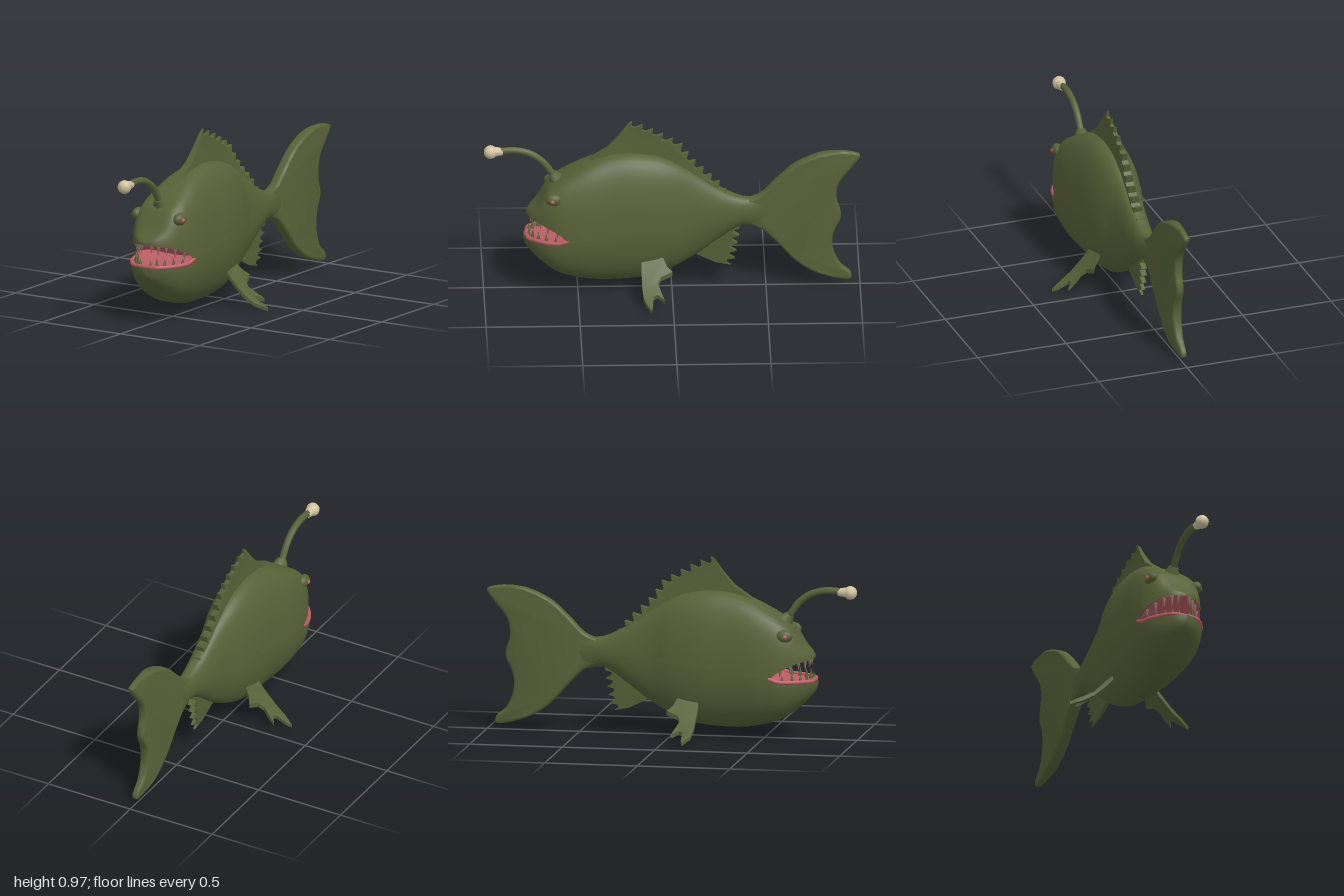
import * as THREE from 'three';
import { toCreasedNormals } from 'three/addons/utils/BufferGeometryUtils.js';

const mat = (name, color, side = THREE.FrontSide) => {
  const m = new THREE.MeshStandardMaterial({ color, side });
  m.name = name;
  return m;
};

// Smooth interpolation through [z, value] pairs sorted by z
function curve(pts) {
  const n = pts.length - 1;
  const slope = (i) => {
    const a = pts[Math.max(0, i - 1)], b = pts[Math.min(n, i + 1)];
    return (b[1] - a[1]) / (b[0] - a[0]);
  };
  return (z) => {
    let i = 0;
    while (i < n - 1 && z > pts[i + 1][0]) i++;
    const [z0, v0] = pts[i], [z1, v1] = pts[i + 1], d = z1 - z0;
    const t = Math.min(1, Math.max(0, (z - z0) / d)), s = t * t * (3 - 2 * t);
    return v0 + (v1 - v0) * s + d * t * (1 - t) * (slope(i) * (1 - t) - slope(i + 1) * t);
  };
}

// Surface from rows and columns of points
function grid(rows, cols, point) {
  const pos = [], idx = [];
  for (let i = 0; i <= rows; i++) for (let j = 0; j <= cols; j++) pos.push(...point(i / rows, j / cols));
  for (let i = 0; i < rows; i++) for (let j = 0; j < cols; j++) {
    const a = i * (cols + 1) + j, b = a + 1, c = a + cols + 1, d = c + 1;
    idx.push(a, b, c, b, d, c);
  }
  const g = new THREE.BufferGeometry();
  g.setAttribute('position', new THREE.Float32BufferAttribute(pos, 3));
  g.setIndex(idx);
  g.computeVertexNormals();
  return g;
}

// Body profiles along z
const rearWidth = [[-0.56, 0.022], [-0.45, 0.038], [-0.3, 0.062], [-0.1, 0.092], [0, 0.125], [0.15, 0.153], [0.3, 0.165], [0.47, 0.18], [0.55, 0.178]];
const upperWidth = curve([...rearWidth, [0.6, 0.17], [0.65, 0.152], [0.7, 0.122], [0.74, 0.085], [0.765, 0.045], [0.775, 0]]);
const jawWidth = curve([...rearWidth, [0.6, 0.172], [0.65, 0.158], [0.7, 0.132], [0.75, 0.09], [0.78, 0.045], [0.79, 0]]);
const rearMid = [[-0.56, 0.44], [-0.3, 0.43], [0, 0.4], [0.4, 0.36], [0.55, 0.345]];
const upperLip = curve([...rearMid, [0.6, 0.38], [0.65, 0.405], [0.7, 0.425], [0.775, 0.442]]);
const lowerLip = curve([...rearMid, [0.6, 0.327], [0.7, 0.323], [0.79, 0.322]]);
const back = curve([[-0.56, 0.53], [-0.5, 0.53], [-0.4, 0.515], [-0.3, 0.55], [-0.2, 0.61], [-0.1, 0.68], [0, 0.74], [0.1, 0.775], [0.25, 0.79],
  [0.4, 0.762], [0.55, 0.685], [0.62, 0.637], [0.66, 0.605], [0.69, 0.555], [0.72, 0.51], [0.755, 0.475], [0.775, 0.452]]);
const belly = curve([[-0.56, 0.35], [-0.45, 0.345], [-0.37, 0.355], [-0.25, 0.28], [-0.13, 0.19], [0, 0.115], [0.1, 0.075], [0.3, 0.055],
  [0.45, 0.065], [0.6, 0.11], [0.7, 0.18], [0.75, 0.23], [0.78, 0.268], [0.79, 0.3]]);

// Rows are shared up to the mouth corner and get denser towards the lips
const bodyZ = (s, end) => {
  if (s <= 0.6) return -0.56 + 1.11 * s / 0.6;
  const t = (s - 0.6) / 0.4;
  return 0.55 + (end - 0.55) * (1 - (1 - t) ** 1.8);
};

function bodyHalf(upper) {
  return grid(50, 26, (s, t) => {
    const z = bodyZ(s, upper ? 0.775 : 0.79);
    const boxy = THREE.MathUtils.smoothstep(z, 0.3, 0.65);
    const a = Math.PI * (upper ? t : 1 + t), c = Math.cos(a);
    const p = upper ? 0.75 - 0.35 * boxy : 1 - 0.25 * boxy;
    const w = Math.max(0, (upper ? upperWidth : jawWidth)(z));
    const mid = (upper ? upperLip : lowerLip)(z);
    const h = upper ? back(z) - mid : mid - belly(z);
    const x = Math.abs(c) < 1e-6 ? 0 : Math.sign(c) * Math.abs(c) ** p * w;
    return [x, mid + Math.sin(a) * h, z];
  });
}

function extrude(points, bevel) {
  const shape = new THREE.Shape(points.map(([a, b]) => new THREE.Vector2(a, b)));
  const g = new THREE.ExtrudeGeometry(shape, bevel
    ? { depth: 1, bevelThickness: 0.5, bevelSize: bevel, bevelOffset: -bevel, bevelSegments: 3 }
    : { depth: 2, bevelEnabled: false });
  return g.translate(0, 0, bevel ? -0.5 : -1);
}

// Bends an extrusion of unit half thickness by a rule
function bend(g, rule) {
  const p = g.attributes.position;
  for (let i = 0; i < p.count; i++) p.setXYZ(i, ...rule(p.getX(i), p.getY(i), p.getZ(i)));
  g.computeVertexNormals();
  return toCreasedNormals(g, 0.7);
}

// Upright fin drawn as [z, y] points
const uprightFin = (points, half, bevel) => bend(extrude(points, bevel), (a, b, c) => [-c * half(a, b), b, a]);

// Hooked spines along a fin edge
function spines(edge, count, dz, dy) {
  const c = new THREE.SplineCurve(edge.map((e) => new THREE.Vector2(...e))), out = [];
  for (let i = 0; i < count; i++) {
    const tip = c.getPointAt(i / (count - 1));
    out.push([tip.x, tip.y]);
    if (i === count - 1) break;
    const m = c.getPointAt((i + 0.3) / (count - 1)), n = c.getPointAt((i + 0.65) / (count - 1));
    out.push([m.x + dz, m.y + dy], [n.x + dz, n.y + dy]);
  }
  return out;
}

export function createModel() {
  const group = new THREE.Group();
  const skin = mat('olive skin', 0x586138);
  const pink = mat('pink flesh', 0xbc5c64, THREE.DoubleSide);
  const cream = mat('cream lure', 0xcfc3a0);
  const toothTan = mat('tan teeth', 0x8c785f);
  const add = (name, geometry, material, parent = group) => {
    const m = new THREE.Mesh(geometry, material);
    m.name = name;
    parent.add(m);
    return m;
  };

  // Body and jaw
  add('upperBody', bodyHalf(true), skin);
  add('lowerBody', bodyHalf(false), skin);

  // Mouth lining, closing at the throat
  add('palate', grid(24, 16, (s, t) => {
    const z = 0.42 + 0.353 * s, v = 1 - 2 * t, lip = upperLip(z);
    const arch = Math.min(0.05, (back(z) - lip) * 0.4) - Math.max(0, 0.55 - z) * 0.9;
    return [v * upperWidth(z) * 0.98, lip + arch * (1 - v * v), z];
  }), pink);
  add('mouthFloor', grid(24, 16, (s, t) => {
    const z = 0.42 + 0.367 * s, v = 1 - 2 * t;
    return [v * jawWidth(z) * 0.98, lowerLip(z) - 0.02 * (1 - v * v) * (1 - s), z];
  }), pink);
  const gum = [];
  for (const s of [1, -1]) {
    const zs = [0.55, 0.6, 0.65, 0.7, 0.74, 0.765];
    if (s < 0) zs.reverse();
    for (const z of zs) gum.push(new THREE.Vector3(s * jawWidth(z) * 0.96, lowerLip(z) + 0.002, z));
  }
  add('lowerGum', new THREE.TubeGeometry(new THREE.CatmullRomCurve3(gum), 48, 0.011, 8), pink);

  // Teeth
  const tooth = (name, x, y, z, h, material, down) => {
    const m = add(name, new THREE.ConeGeometry(0.012, h, 7), material);
    m.position.set(x, y + (down ? -h : h) * 0.4, z);
    m.rotation.x = down ? Math.PI : 0;
  };
  for (const s of [1, -1]) {
    [[0.61, 0.045], [0.66, 0.06], [0.7, 0.055], [0.73, 0.07], [0.75, 0.055]].forEach(([z, h], i) =>
      tooth('upperTooth', s * (upperWidth(z) * 0.88 - i * 0.008), upperLip(z) + 0.004, z, h, toothTan, true));
    [[0.62, 0.045], [0.67, 0.055], [0.71, 0.05], [0.74, 0.06], [0.76, 0.045]].forEach(([z, h], i) =>
      tooth('lowerTooth', s * (jawWidth(z) * 0.86 - i * 0.009), lowerLip(z), z, h, skin, false));
  }

  // Eyes under swollen lids
  for (const s of [1, -1]) {
    const lid = add('eyelid', new THREE.SphereGeometry(1, 16, 12), skin);
    lid.position.set(s * 0.132, 0.572, 0.63);
    lid.scale.set(0.03, 0.034, 0.045);
    add('eye', new THREE.SphereGeometry(0.014, 12, 8), pink).position.set(s * 0.154, 0.57, 0.637);
  }

  // Lure on its stalk
  const collar = add('lureCollar', new THREE.CylinderGeometry(0.026, 0.058, 0.07, 7), skin);
  collar.position.set(0, 0.64, 0.615);
  collar.rotation.x = 0.65;
  const stalk = [[0.61, 0.63], [0.645, 0.68], [0.685, 0.735], [0.75, 0.782], [0.83, 0.803], [0.92, 0.8]];
  add('lureStalk', new THREE.TubeGeometry(new THREE.CatmullRomCurve3(stalk.map(([z, y]) => new THREE.Vector3(0, y, z))), 24, 0.019, 8), skin);
  const neck = add('lureNeck', new THREE.CylinderGeometry(0.03, 0.02, 0.06, 10), cream);
  neck.rotation.x = Math.PI / 2;
  neck.position.set(0, 0.797, 0.927);
  add('lureBulb', new THREE.SphereGeometry(0.037, 10, 8), cream).position.set(0, 0.795, 0.963);

  // Dorsal fin
  const thin = (z, y) => 0.003 + 0.022 * (1 - THREE.MathUtils.clamp((y - back(z)) / 0.19, 0, 1));
  add('dorsalFin', uprightFin([[0.46, 0.72], [0.42, 0.76], [0.34, 0.815], [0.28, 0.885], [0.23, 0.955],
    ...spines([[0.21, 0.97], [0.1, 0.925], [0, 0.868], [-0.05, 0.84], [-0.1, 0.765], [-0.17, 0.69], [-0.24, 0.625], [-0.29, 0.56]], 12, 0.022, -0.026),
    [-0.3, 0.5], [-0.2, 0.55], [0, 0.66], [0.2, 0.71]], thin), skin);

  // Anal fin
  add('analFin', uprightFin([[-0.1, 0.21], [-0.14, 0.185], [-0.23, 0.14],
    ...spines([[-0.315, 0.122], [-0.34, 0.17], [-0.345, 0.225], [-0.355, 0.28], [-0.36, 0.34]], 6, 0.034, 0.006),
    [-0.36, 0.4], [-0.2, 0.32]], (z, y) => 0.006 + 0.014 * THREE.MathUtils.clamp((y - 0.12) / 0.2, 0, 1)), skin);

  // Tail fin
  const tail = [[-0.38, 0.5], [-0.47, 0.535], [-0.55, 0.615], [-0.65, 0.705], [-0.78, 0.765], [-0.9, 0.78], [-0.98, 0.768], [-1, 0.748],
    [-0.96, 0.69], [-0.89, 0.6], [-0.875, 0.51], [-0.9, 0.405], [-0.86, 0.31], [-0.855, 0.22], [-0.89, 0.13], [-0.945, 0.08],
    [-0.955, 0.045], [-0.93, 0.033], [-0.85, 0.048], [-0.75, 0.085], [-0.65, 0.155], [-0.55, 0.265], [-0.47, 0.34], [-0.38, 0.375]];
  const tailEdge = new THREE.SplineCurve(tail.map((p) => new THREE.Vector2(...p))).getPoints(90).map((v) => [v.x, v.y]);
  add('tailFin', uprightFin(tailEdge, (z) => 0.031 - 0.014 * THREE.MathUtils.smoothstep(-z, 0.78, 0.95), 0.014), skin);

  // Pectoral fins, drawn as [x, z] points and drooping outwards
  const droop = curve([[0.1, 0.215], [0.15, 0.155], [0.2, 0.1], [0.27, 0.046], [0.355, 0.01]]);
  const pectoral = [[0.1, 0.165], [0.16, 0.165], [0.23, 0.162], [0.29, 0.153], [0.353, 0.118], [0.33, 0.108], [0.265, 0.105],
    [0.255, 0.085], [0.285, 0.045], [0.235, 0.065], [0.205, 0.078], [0.178, 0.062], [0.16, 0], [0.14, 0.03], [0.1, 0.055]];
  for (const s of [1, -1]) {
    const side = new THREE.Group();
    side.name = s > 0 ? 'leftPectoralFin' : 'rightPectoralFin';
    side.scale.x = s;
    group.add(side);
    add('pectoralBlade', bend(extrude(pectoral), (a, b, c) => [a, droop(a) - c * (0.014 - 0.02 * (a - 0.1)), b]), skin, side);
  }
  return group;
}
